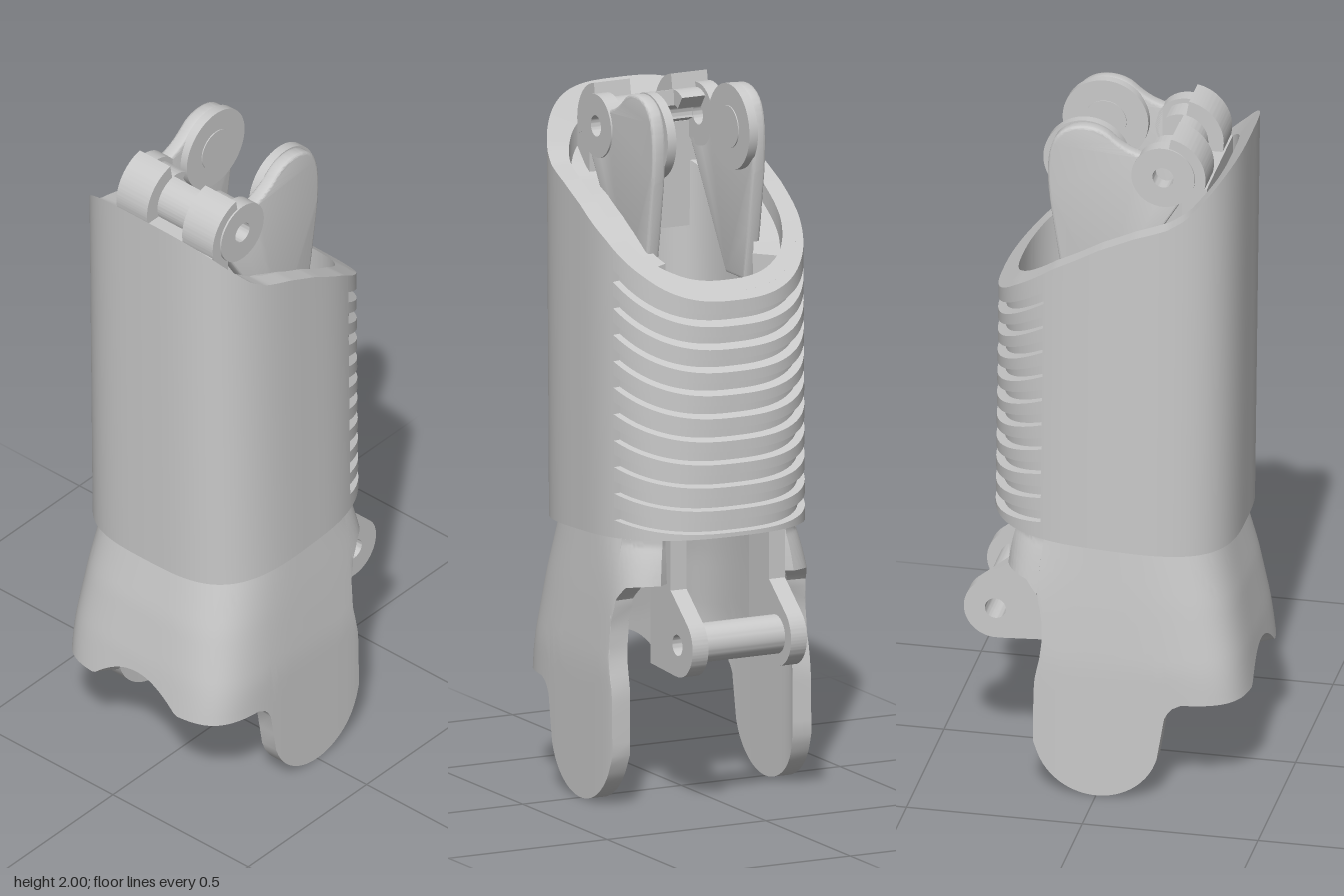
import * as THREE from 'three';
import { toCreasedNormals } from 'three/addons/utils/BufferGeometryUtils.js';

const grey = new THREE.MeshStandardMaterial({ color: 0xc9c9c9 });
grey.name = 'light grey';

// Piecewise linear lookup through [x, y] points
function lookup(points, x) {
  if (x <= points[0][0]) return points[0][1];
  for (let i = 1; i < points.length; i++) {
    const [x0, y0] = points[i - 1], [x1, y1] = points[i];
    if (x <= x1) return y0 + (y1 - y0) * (x - x0) / (x1 - x0);
  }
  return points[points.length - 1][1];
}

// Rounded outline point at polar angle t: depth back (-x), front (+x), half width (z), squareness of each end
function outline(t, [back, front, half, nBack = 3.3, nFront = 2.6]) {
  const c = Math.cos(t), s = Math.sin(t);
  const n = c < 0 ? nBack : nFront, a = c < 0 ? back : front;
  const r = Math.pow(Math.pow(Math.abs(c) / a, n) + Math.pow(Math.abs(s) / half, n), -1 / n);
  return [r * c, r * s];
}

// Point on an inner outline that lies straight across the wall's side
const across = (t, outer, inner) => {
  const shifted = Math.atan2(Math.sin(t) * inner[2] / outer[2], Math.cos(t));
  return outline(shifted, inner);
};

// Curved wall swept from angle t0 to t1; section(t) gives outer and inner points, bottom to top
function wall(t0, t1, steps, section) {
  const pos = [];
  const quad = (a, b, c, d) => pos.push(...a, ...b, ...c, ...a, ...c, ...d);
  const rows = [];
  for (let i = 0; i <= steps; i++) rows.push(section(t0 + (t1 - t0) * i / steps));
  const loops = rows.map(({ outer, inner }) => [...outer, ...inner.slice().reverse()]);
  for (let i = 0; i < steps; i++) {
    const p = loops[i], q = loops[i + 1];
    for (let j = 0; j < p.length; j++) {
      const k = (j + 1) % p.length;
      quad(p[j], p[k], q[k], q[j]);
    }
  }
  const first = rows[0], last = rows[steps];
  for (let j = 0; j < first.outer.length - 1; j++) {
    quad(first.outer[j], first.inner[j], first.inner[j + 1], first.outer[j + 1]);
    quad(last.outer[j], last.outer[j + 1], last.inner[j + 1], last.inner[j]);
  }
  const g = new THREE.BufferGeometry();
  g.setAttribute('position', new THREE.Float32BufferAttribute(pos, 3));
  return toCreasedNormals(g, 0.6);
}

// Straight, slightly leaning section between two outlines, with heights given per point
function section(outer, inner, low, high) {
  const column = ([x, z]) => [low(x), high(x)].map(y => [x + 0.012 * (1.1 - y), y, z]);
  return t => ({ outer: column(outline(t, outer)), inner: column(across(t, outer, inner)) });
}

// Flat plate in the x-y plane from z0 to z1
function plate(shape, z0, z1, bevel = 0) {
  const g = new THREE.ExtrudeGeometry(shape, {
    depth: z1 - z0 - 2 * bevel, curveSegments: 24, bevelEnabled: bevel > 0,
    bevelSize: bevel, bevelOffset: -bevel, bevelThickness: bevel, bevelSegments: 3,
  });
  g.translate(0, 0, z0 + bevel);
  return toCreasedNormals(g, 0.6);
}

function ringShape(x, y, r, hole) {
  const s = new THREE.Shape().absarc(x, y, r, 0, Math.PI * 2);
  if (hole) s.holes.push(new THREE.Path().absarc(x, y, hole, 0, Math.PI * 2, true));
  return s;
}

function sectorShape(x, y, r0, r1, a0, a1) {
  return new THREE.Shape().absarc(x, y, r1, a0, a1).absarc(x, y, r0, a1, a0, true);
}

export function createModel() {
  const group = new THREE.Group();
  const add = (name, geometry) => {
    const m = new THREE.Mesh(geometry, grey);
    m.name = name;
    group.add(m);
  };
  // Same plate on both sides, at +z and -z
  const addPair = (name, shape, z0, z1, bevel) => {
    add(name + 'Left', plate(shape, z0, z1, bevel));
    add(name + 'Right', plate(shape, -z1, -z0, bevel));
  };
  const TAU = Math.PI * 2;

  // Sleeve with slanted top; its front is set back behind the ribs
  const sleeveTop = x => lookup([[-0.367, 1.945], [-0.3, 1.86], [-0.24, 1.795], [-0.19, 1.765],
    [-0.1, 1.735], [0, 1.69], [0.13, 1.615], [0.25, 1.525], [0.335, 1.45]], x);
  const sleeveLow = x => 0.763 + 0.05 * x;
  const outer = [0.367, 0.334, 0.316], inner = [0.313, 0.28, 0.261], groove = [0.345, 0.312, 0.297];
  const gt = Math.atan2(0.3, 0.16);
  add('sleeveBack', wall(gt, TAU - gt, 110, section(outer, inner, sleeveLow, sleeveTop)));
  add('sleeveFront', wall(-gt, gt, 60, section(groove, inner, sleeveLow, sleeveTop)));

  // Ribs between ten slanting grooves
  const grooveY = (k, x) => {
    const f = (x - 0.155) / 0.175;
    return (0.84 + 0.0755 * k) * (1 - f) + (0.81 + 0.0655 * k) * f;
  };
  for (let k = 0; k <= 10; k++) {
    const low = k === 0 ? sleeveLow : x => grooveY(k - 1, x) + 0.018;
    const high = k === 10 ? sleeveTop : x => grooveY(k, x) - 0.018;
    add('rib' + k, wall(-gt, gt, 60, section(outer, groove, low, high)));
  }

  // Inner frame, open at the front
  const ft = Math.atan2(0.22, 0.19);
  add('innerFrame', wall(ft, TAU - ft, 90, section([0.308, 0.27, 0.256], [0.25, 0.22, 0.18],
    () => 0.73, x => sleeveTop(x) - 0.05)));

  // Lower cover: flared square back and two rounded side lobes
  const flare = (y, inset) => [
    lookup([[0.3, 0.411], [0.42, 0.396], [0.58, 0.368], [0.76, 0.325]], y) - inset, 0.285 - inset,
    lookup([[0.4, 0.317], [0.6, 0.303], [0.76, 0.289]], y) - inset,
    lookup([[0.35, 5], [0.75, 3.5]], y), lookup([[0.55, 6], [0.75, 3]], y)];
  const coverLow = (x, z) => {
    if (Math.abs(x) < 0.178) return 0.18 - Math.sqrt(0.0324 - x * x);
    if (x > 0) return 0.15;
    return lookup([[-0.24, 0.3], [-0.21, 0.285], [-0.19, 0.25], [-0.178, 0.155]], x)
      + (x < -0.25 ? 0.075 * Math.max(0, 1 - (z / 0.15) ** 2) : 0);
  };
  // Front edge of the lobes, narrowing to a waist
  const waist = y => lookup([[0.2, 0.18], [0.33, 0.178], [0.38, 0.168], [0.43, 0.156],
    [0.54, 0.157], [0.6, 0.18], [0.63, 0.22], [0.65, 0.3]], y);
  const coverSection = low => t => {
    const [nx, nz] = outline(t, flare(0.3, 0));
    const y0 = low(nx, nz), y1 = 0.755 + 0.05 * nx, out = [], inn = [];
    for (let i = 0; i <= 16; i++) {
      const y = y0 + (y1 - y0) * i / 16, size = flare(y, 0);
      const [ox, oz] = outline(t, size);
      const [ix, iz] = across(t, size, flare(y, 0.052));
      out.push([Math.min(ox, waist(y)), y, oz]);
      inn.push([Math.min(ix, waist(y)), y, iz]);
    }
    return { outer: out, inner: inn };
  };
  const ct = Math.atan2(0.312, 0.18), cf = Math.atan2(0.2, 0.26);
  add('lowerCover', wall(ct, TAU - ct, 160, coverSection(coverLow)));
  const cheekLow = x => lookup([[0.17, 0.58], [0.19, 0.605], [0.22, 0.635], [0.28, 0.645]], x);
  add('coverCheekLeft', wall(cf, ct, 20, coverSection(cheekLow)));
  add('coverCheekRight', wall(-ct, -cf, 20, coverSection(cheekLow)));

  // Lower bracket: two lugs joined by a hollow pin
  const lug = new THREE.Shape().moveTo(0.155, 0.8).lineTo(0.155, 0.4).lineTo(0.3, 0.392)
    .absarc(0.315, 0.482, 0.09, -1.6, 0.95).lineTo(0.275, 0.63).lineTo(0.275, 0.8);
  lug.holes.push(new THREE.Path().absarc(0.315, 0.482, 0.03, 0, TAU, true));
  addPair('bracketLug', lug, 0.13, 0.18);
  add('bracketPin', plate(ringShape(0.315, 0.482, 0.055, 0.03), -0.132, 0.132));

  // Upper ears with round inner pads
  const ear = new THREE.Shape().moveTo(-0.215, 1.8).lineTo(0.0, 1.45).lineTo(0.11, 1.45)
    .lineTo(0.138, 1.6).lineTo(0.162, 1.76)
    .bezierCurveTo(0.17, 1.83, 0.175, 1.91, 0.145, 1.96)
    .bezierCurveTo(0.11, 2.01, 0.03, 2.01, -0.01, 1.975)
    .bezierCurveTo(-0.05, 1.94, -0.07, 1.935, -0.1, 1.925).lineTo(-0.1, 1.82).lineTo(-0.15, 1.805);
  addPair('ear', ear, 0.138, 0.178, 0.008);
  addPair('earPad', ringShape(0.065, 1.88, 0.122), 0.115, 0.142);
  addPair('earPadCentre', ringShape(0.065, 1.88, 0.06), 0.112, 0.116);

  // Upper hinge: bored bosses, curved guards and the mount behind them
  const hx = -0.162, hy = 1.868;
  addPair('hingeBoss', ringShape(hx, hy, 0.09, 0.03), 0.138, 0.183);
  addPair('hingeKnuckle', sectorShape(hx, hy, 0.032, 0.076, 0.95, 3.6), 0.065, 0.14);
  addPair('hingeGuard', sectorShape(hx, hy, 0.074, 0.12, 1.75, 3.5), 0.065, 0.178);
  add('hingeBridge', plate(sectorShape(hx, hy, 0.032, 0.076, 1.65, 3.6), -0.066, 0.066));
  const mount = new THREE.BoxGeometry(0.07, 0.3, 0.35);
  mount.translate(-0.25, 1.69, 0);
  add('hingeMount', mount);

  return group;
}
